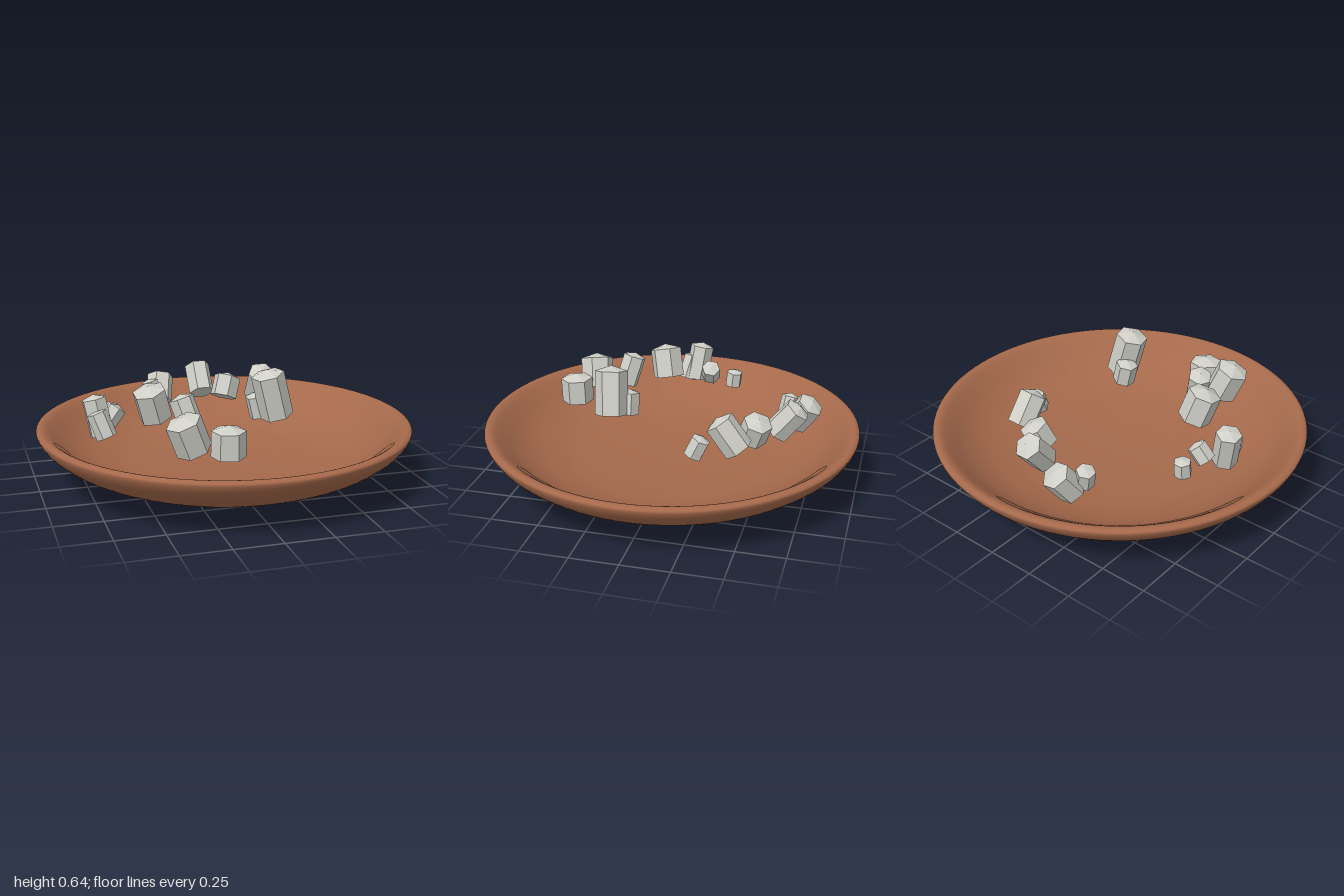
import * as THREE from 'three';

export function createModel() {
  const group = new THREE.Group();
  const clay = new THREE.MeshStandardMaterial({ color: 0xa5694b });
  clay.name = 'terracotta';
  const stone = new THREE.MeshStandardMaterial({ color: 0xcfcfc8, flatShading: true });
  stone.name = 'paleStone';

  // Shallow dish: full outer wall, rounded lip, then a softly sloping hollow
  const v = (x, y) => new THREE.Vector2(x, y);
  const curve = new THREE.SplineCurve([
    v(0.38, 0), v(0.48, 0.012), v(0.58, 0.037), v(0.7, 0.075), v(0.8, 0.116),
    v(0.88, 0.16), v(0.95, 0.215), v(0.985, 0.257), v(1, 0.29), v(0.994, 0.304),
    v(0.975, 0.31), v(0.95, 0.302), v(0.92, 0.28), v(0.88, 0.246), v(0.84, 0.213),
    v(0.78, 0.173), v(0.7, 0.135), v(0.6, 0.104), v(0.5, 0.086), v(0.25, 0.067),
  ]);
  const profile = [v(0, 0), ...curve.getPoints(76), v(0, 0.062)];
  const dish = new THREE.Mesh(new THREE.LatheGeometry(profile, 96), clay);
  dish.name = 'dish';
  group.add(dish);

  // Six-sided crystal with a low pointed cap, running from base centre to apex
  const up = new THREE.Vector3(0, 1, 0);
  function addCrystal(base, apex, r, spin = 0) {
    const from = new THREE.Vector3(...base);
    const axis = new THREE.Vector3(...apex).sub(from);
    const h = axis.length();
    const geo = new THREE.LatheGeometry(
      [v(0, 0), v(r, 0), v(r, h - 0.32 * r), v(0, h)], 6, spin);
    const mesh = new THREE.Mesh(geo, stone);
    mesh.name = 'crystal';
    mesh.position.copy(from);
    mesh.quaternion.setFromUnitVectors(up, axis.normalize());
    group.add(mesh);
  }

  const flat = Math.PI / 6;
  const crystals = [
    // front left cluster
    [[-0.147, 0.3, 0.583], [-0.147, 0.46, 0.588], 0.087, 0.3],
    [[-0.3, 0.325, 0.515], [-0.37, 0.505, 0.54], 0.091, flat],
    [[-0.265, 0.38, 0.335], [-0.315, 0.55, 0.29], 0.064, flat],
    [[-0.4, 0.39, 0.12], [-0.45, 0.567, 0.155], 0.088],
    // centre pair
    [[0.205, 0.395, 0.275], [0.14, 0.645, 0.29], 0.086, 0.25],
    [[0.14, 0.38, 0.205], [0.11, 0.51, 0.205], 0.06],
    // left cluster
    [[-0.665, 0.29, 0.02], [-0.705, 0.5, -0.01], 0.067],
    [[-0.65, 0.29, 0.075], [-0.7, 0.43, 0.04], 0.055, flat],
    [[-0.62, 0.325, -0.078], [-0.553, 0.41, -0.092], 0.053],
    [[-0.58, 0.3, -0.22], [-0.58, 0.395, -0.23], 0.046, flat],
    // back row
    [[-0.215, 0.27, -0.635], [-0.18, 0.415, -0.735], 0.076, flat],
    [[-0.25, 0.3, -0.585], [-0.28, 0.41, -0.605], 0.05],
    [[0.03, 0.315, -0.57], [0.03, 0.47, -0.695], 0.073, flat],
    [[0.13, 0.31, -0.46], [0.175, 0.44, -0.505], 0.077],
    [[0.325, 0.33, -0.43], [0.32, 0.49, -0.31], 0.078, flat],
    [[0.395, 0.305, -0.207], [0.385, 0.41, -0.255], 0.051, flat],
  ];
  crystals.forEach((c) => addCrystal(...c));

  return group;
}
